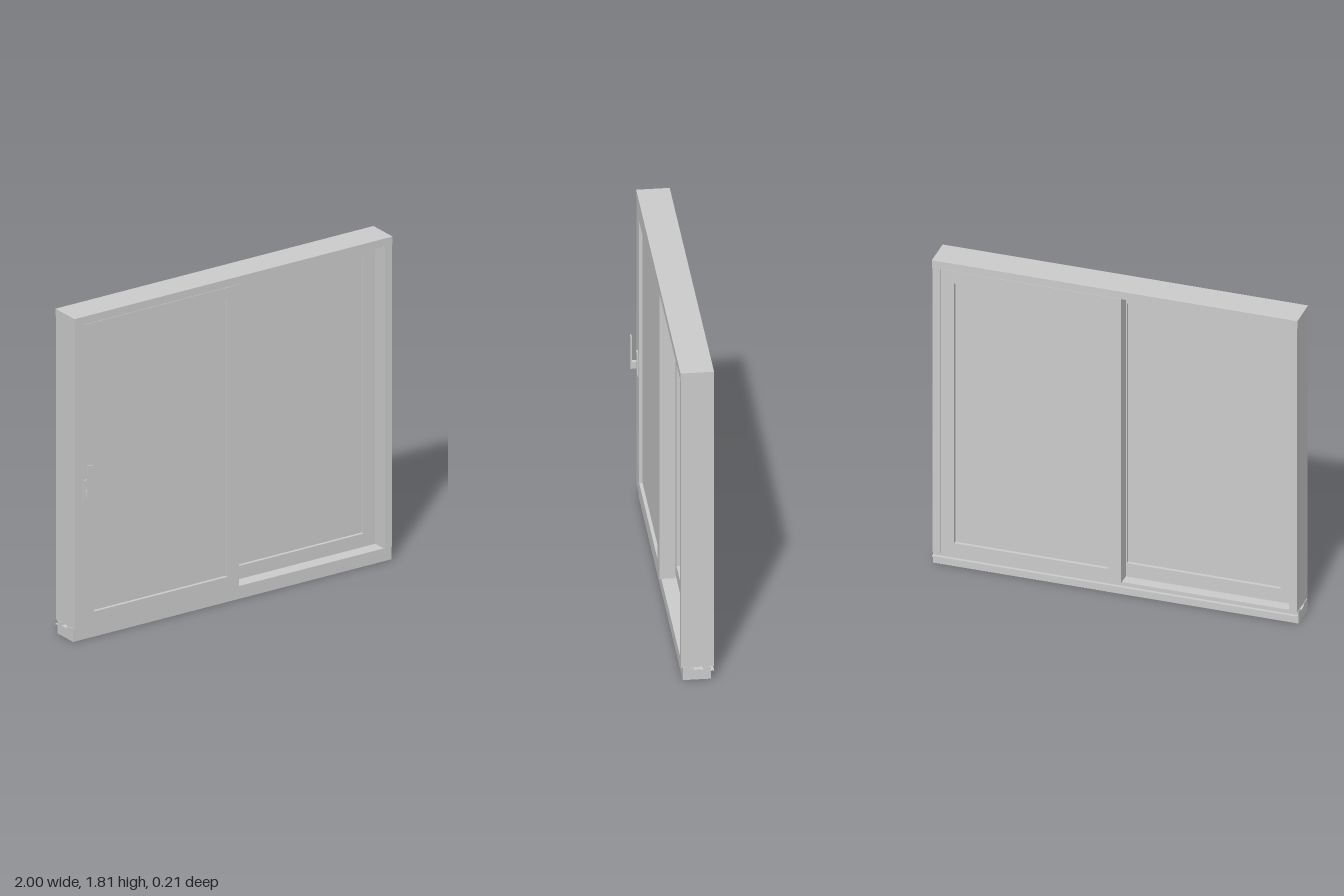
import * as THREE from 'three';

const material = new THREE.MeshStandardMaterial({ color: 0xcccccc, flatShading: true });

export function createModel() {
  const model = new THREE.Group();
  model.name = 'slidingWindow';

  // Box given by its limits on each axis
  const box = (parent, name, [x0, x1], [y0, y1], [z0, z1]) => {
    const mesh = new THREE.Mesh(new THREE.BoxGeometry(x1 - x0, y1 - y0, z1 - z0), material);
    mesh.position.set((x0 + x1) / 2, (y0 + y1) / 2, (z0 + z1) / 2);
    mesh.name = name;
    parent.add(mesh);
    return mesh;
  };

  // Profile of [z, y] points extruded along x over the full width
  const extrudeAlongX = (parent, name, points, length) => {
    const shape = new THREE.Shape(points.map(([z, y]) => new THREE.Vector2(-z, y)));
    const geometry = new THREE.ExtrudeGeometry(shape, { depth: length, bevelEnabled: false });
    geometry.translate(0, 0, -length / 2);
    geometry.rotateY(Math.PI / 2);
    const mesh = new THREE.Mesh(geometry, material);
    mesh.name = name;
    parent.add(mesh);
  };

  // Outer frame: head and two jambs
  const frame = new THREE.Group();
  frame.name = 'frame';
  model.add(frame);
  box(frame, 'head', [-1, 1], [1.768, 1.812], [-0.105, 0.07]);
  for (const s of [-1, 1]) {
    const xs = [s * 0.953, s * 0.997].sort((a, b) => a - b);
    box(frame, s < 0 ? 'rightJamb' : 'leftJamb', xs, [0.072, 1.768], [-0.104, 0.068]);
  }

  // Sill with an open track channel and a drip lip at the back
  extrudeAlongX(frame, 'sill', [
    [0.058, 0], [0.058, 0.072], [0, 0.072], [0, 0.057], [-0.05, 0.057],
    [-0.05, 0.072], [-0.088, 0.072], [-0.088, 0.05], [-0.105, 0.05],
    [-0.105, 0.042], [-0.102, 0.042], [-0.102, 0.046], [-0.088, 0.046], [-0.088, 0],
  ], 2);

  // Sash: extruded ring with the pane set back from both faces
  const addSash = (name, x0, x1, z0, z1) => {
    const sash = new THREE.Group();
    sash.name = name;
    model.add(sash);
    const y0 = 0.074, y1 = 1.766, rail = 0.072;
    const rect = (Type, a, b, c, d) => new Type([
      new THREE.Vector2(a, c), new THREE.Vector2(b, c),
      new THREE.Vector2(b, d), new THREE.Vector2(a, d),
    ]);
    const shape = rect(THREE.Shape, x0, x1, y0, y1);
    shape.holes.push(rect(THREE.Path, x0 + rail, x1 - rail, y0 + rail, y1 - rail));
    const geometry = new THREE.ExtrudeGeometry(shape, { depth: z1 - z0, bevelEnabled: false });
    geometry.translate(0, 0, z0);
    const ring = new THREE.Mesh(geometry, material);
    ring.name = name + 'Frame';
    sash.add(ring);
    box(sash, name + 'Pane', [x0 + rail, x1 - rail], [y0 + rail, y1 - rail], [z0 + 0.018, z1 - 0.018]);
    return sash;
  };
  const frontSash = addSash('frontSash', -0.95, 0.035, -0.015, 0.069);
  addSash('rearSash', -0.035, 0.95, -0.104, -0.02);

  // Handle: back plate, neck and upright lever
  const handle = new THREE.Group();
  handle.name = 'handle';
  frontSash.add(handle);
  box(handle, 'handlePlate', [-0.944, -0.912], [0.757, 0.897], [0.069, 0.077]);
  box(handle, 'handleNeck', [-0.94, -0.916], [0.802, 0.84], [0.077, 0.105]);
  box(handle, 'handleLever', [-0.944, -0.912], [0.802, 0.988], [0.102, 0.109]);

  return model;
}
